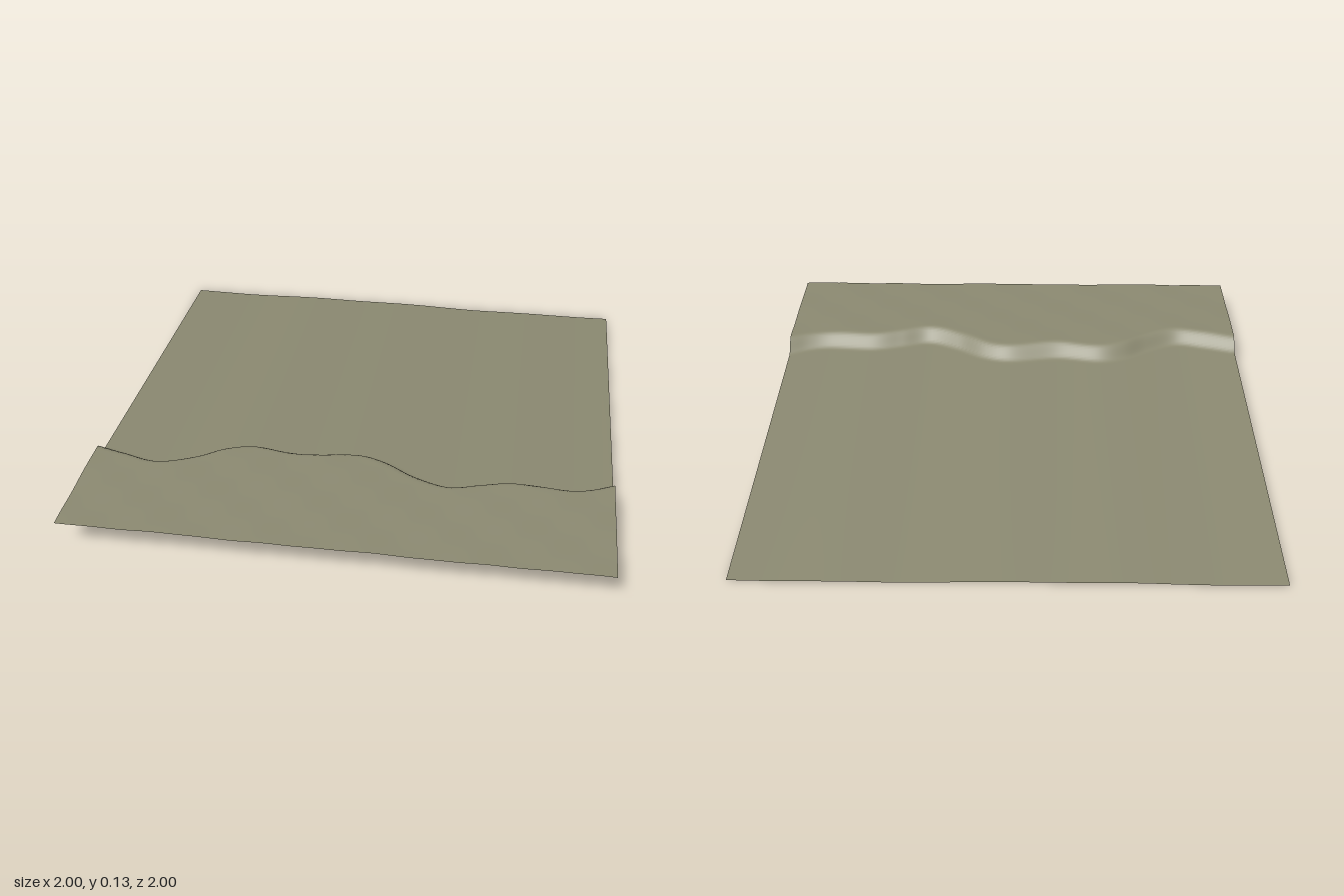
import * as THREE from 'three';

// Winding line of the bank: z as a function of x
const bankLine = new THREE.CatmullRomCurve3([
  [-1.15, 0.46], [-1, 0.49], [-0.88, 0.525], [-0.74, 0.555], [-0.6, 0.5], [-0.5, 0.435],
  [-0.4, 0.405], [-0.2, 0.432], [0.02, 0.403], [0.12, 0.43], [0.24, 0.505], [0.38, 0.557],
  [0.5, 0.525], [0.62, 0.497], [0.84, 0.507], [0.92, 0.49], [1, 0.455], [1.1, 0.41],
].map(([x, z]) => new THREE.Vector3(x, 0, z)));
const samples = bankLine.getPoints(400);

function bankZ(x) {
  let i = 1;
  while (i < samples.length - 1 && samples[i].x < x) i++;
  const a = samples[i - 1], b = samples[i];
  return THREE.MathUtils.lerp(a.z, b.z, (x - a.x) / (b.x - a.x));
}

// Gentle unevenness of the upper ground
function bumps(x, z) {
  return 0.0012 * Math.sin(9 * x + 7 * z) + 0.001 * Math.sin(17 * x - 21 * z + 1) +
    0.0007 * Math.sin(31 * x + 26 * z + 2);
}

function height(x, z) {
  const d = z - bankZ(x);
  const slope = 0.0755 + 0.0485 * Math.min(d, 0);
  const plateau = 0.131 + bumps(x, z);
  const t = THREE.MathUtils.smoothstep(d, -0.038, 0.038);
  return THREE.MathUtils.lerp(slope, plateau, t);
}

export function createModel() {
  const group = new THREE.Group();
  group.name = 'terrain';

  // One sheet: long slope, winding bank, raised plateau at the front
  const geometry = new THREE.PlaneGeometry(2, 2, 120, 200).rotateX(-Math.PI / 2);
  const p = geometry.attributes.position;
  for (let i = 0; i < p.count; i++) p.setY(i, height(p.getX(i), p.getZ(i)));
  geometry.computeVertexNormals();

  const ground = new THREE.Mesh(geometry, new THREE.MeshStandardMaterial({
    color: 0x8a8870, side: THREE.DoubleSide,
  }));
  ground.name = 'groundSurface';
  group.add(ground);
  return group;
}
